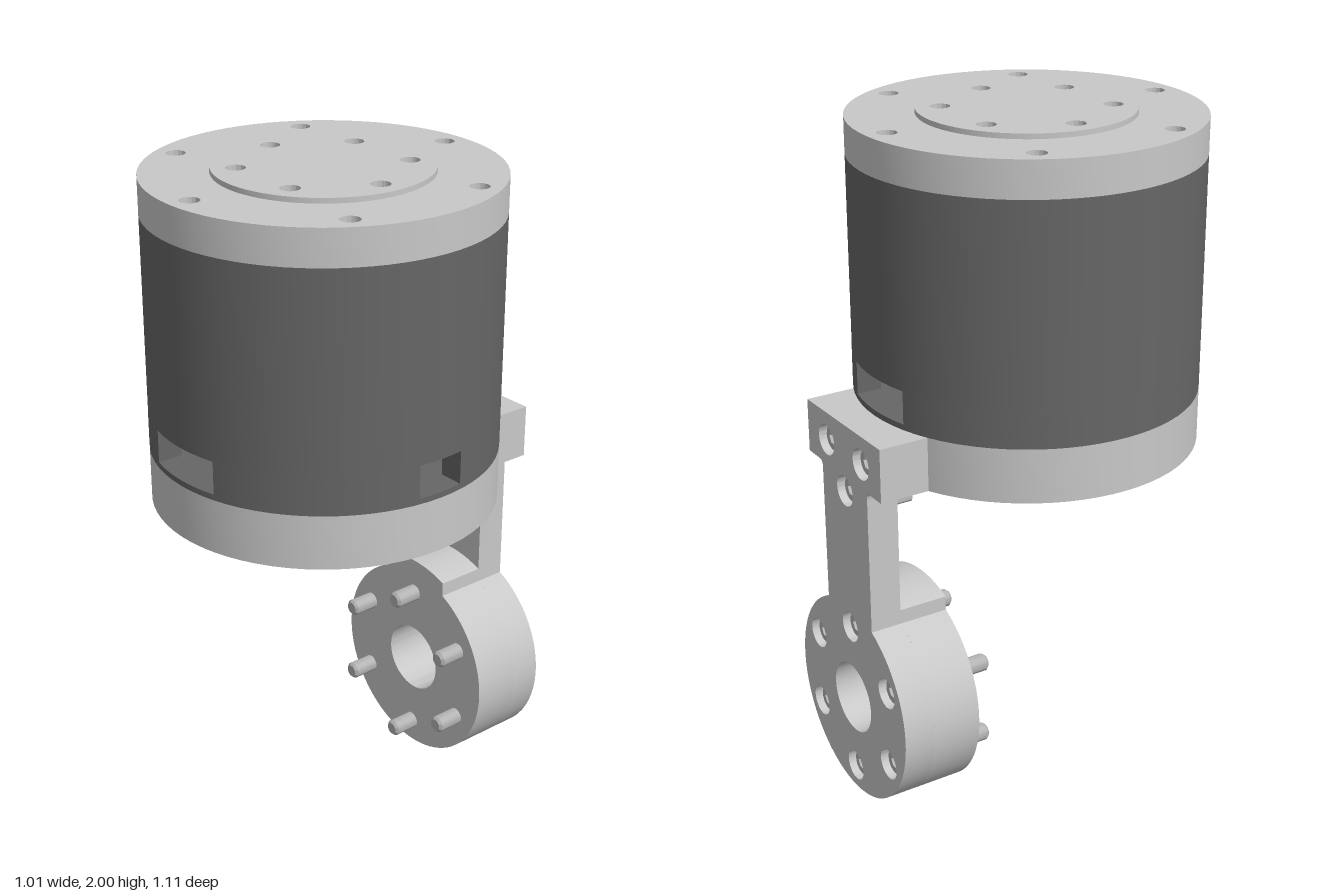
import * as THREE from 'three';
import { toCreasedNormals } from 'three/addons/utils/BufferGeometryUtils.js';

const mat = (name, color, side = THREE.FrontSide) => {
  const m = new THREE.MeshStandardMaterial({ color, side });
  m.name = name;
  return m;
};

export function createModel() {
  const model = new THREE.Group();
  model.name = 'rotaryActuator';
  const metal = mat('light metal', 0xc8c8c8);
  const dark = mat('dark housing', 0x666666);
  const steel = mat('screw steel', 0xb4b4b4);

  const CZ = 0.051, R = 0.503; // housing axis and radius
  const JY = 0.31;             // height of the lower joint axis
  const TAU = Math.PI * 2;

  const add = (name, geo, material, parent = model) => {
    const mesh = new THREE.Mesh(geo, material);
    mesh.name = name;
    parent.add(mesh);
    return mesh;
  };
  const circle = (r, x = 0, y = 0, Type = THREE.Shape) => new Type().absarc(x, y, r, 0, TAU, false);
  const hole = (r, x = 0, y = 0) => circle(r, x, y, THREE.Path);
  const ringPoints = (n, r, start = 0) => Array.from({ length: n }, (_, i) => {
    const a = start + (i / n) * TAU;
    return [r * Math.cos(a), r * Math.sin(a)];
  });
  const extrude = (shape, depth, seg = 36) => toCreasedNormals(
    new THREE.ExtrudeGeometry(shape, { depth, bevelEnabled: false, curveSegments: seg }), 0.5);
  // Extrusion lying flat between two heights, around the housing axis
  const layer = (name, shape, y0, y1, material, seg) =>
    add(name, extrude(shape, y1 - y0, seg).rotateX(-Math.PI / 2).translate(0, y0, CZ), material);
  // Extrusion facing the front between two depths
  const slab = (name, shape, z0, z1, material, seg) =>
    add(name, extrude(shape, z1 - z0, seg).translate(0, 0, z0), material);

  // Base flange with centre bore and four recessed screws
  const base = circle(R);
  base.holes.push(hole(0.176));
  const basePts = ringPoints(4, 0.34, Math.PI / 4);
  basePts.forEach(([x, y]) => base.holes.push(hole(0.052, x, y)));
  layer('baseFlange', base, 1.03, 1.19, metal);
  basePts.forEach(([x, y]) => {
    layer('baseScrewSeat', circle(0.053, x, y), 1.1, 1.11, metal, 10);
    const head = circle(0.04, x, y);
    head.holes.push(hole(0.02, x, y));
    layer('baseScrewHead', head, 1.06, 1.1, steel, 10);
  });

  // Hollow housing: rings above and below a band with three windows
  const RI = 0.43, W0 = 1.207, W1 = 1.305;
  const ring = () => {
    const s = circle(R);
    s.holes.push(hole(RI));
    return s;
  };
  layer('housingLowerRing', ring(), 1.19, W0, dark);
  layer('housingWall', ring(), W1, 1.88, dark);
  const floor = circle(RI + 0.01);
  floor.holes.push(hole(0.176));
  layer('housingFloor', floor, 1.19, W0 - 0.001, dark);
  layer('housingCeiling', circle(RI + 0.01), 1.86, 1.88, dark);
  const windows = [[0, 0.073], [Math.PI / 2, 0.13], [Math.PI * 1.5, 0.13], [TAU, 0.073]];
  for (let i = 0; i < 3; i++) {
    const [a, wa] = windows[i], [b, wb] = windows[i + 1];
    const s = new THREE.Shape();
    s.absarc(0, 0, R, a + Math.asin(wa / R), b - Math.asin(wb / R), false);
    s.absarc(0, 0, RI, b - Math.asin(wb / RI), a + Math.asin(wa / RI), true);
    layer('housingWindowBand', s, W0, W1, dark, 18);
  }

  // Top cap and output disc with blind bolt holes
  const outer = ringPoints(6, 0.44, Math.PI / 6), inner = ringPoints(6, 0.238);
  const cap = circle(R), disc = circle(0.308);
  [...outer, ...inner].forEach(([x, y]) => {
    cap.holes.push(hole(0.028, x, y));
    layer('holeFloor', circle(0.029, x, y), 1.9, 1.92, metal, 8);
  });
  inner.forEach(([x, y]) => disc.holes.push(hole(0.028, x, y)));
  layer('topCap', cap, 1.88, 1.985, metal);
  layer('outputDisc', disc, 1.985, 2, metal);

  // Bracket back plate: mounting bar, arm and joint disc in one outline
  const ZB = -0.555, ZM = -0.46, ZF = -0.31, AW = 0.13;
  const jointPts = ringPoints(6, 0.238, Math.PI / 2).map(([x, y]) => [x, y + JY]);
  const mountPts = [[-0.1, 1.105], [0.1, 1.105], [0, 0.985]];
  const t = Math.acos(AW / 0.31);
  const plate = new THREE.Shape();
  plate.moveTo(-0.21, 1.03);
  plate.lineTo(-0.15, 1.03);
  plate.quadraticCurveTo(-AW, 1.03, -AW, 1.01);
  plate.absarc(0, JY, 0.31, Math.PI - t, TAU + t, false);
  plate.lineTo(AW, 1.01);
  plate.quadraticCurveTo(AW, 1.03, 0.15, 1.03);
  plate.lineTo(0.21, 1.03);
  plate.lineTo(0.21, 1.19);
  plate.lineTo(-0.21, 1.19);
  plate.closePath();
  plate.holes.push(hole(0.108, 0, JY));
  [...jointPts, ...mountPts].forEach(([x, y]) => plate.holes.push(hole(0.046, x, y)));
  slab('bracketPlate', plate, ZB, ZM, metal, 30);

  // Mounting bar front half
  add('mountingBar', new THREE.BoxGeometry(0.42, 0.16, 0.06).translate(0, 1.11, -0.43), metal);

  // Small boss with rounded lower corners under the flange
  const boss = new THREE.Shape();
  boss.moveTo(-0.088, 1.03);
  boss.lineTo(-0.088, 0.96);
  boss.quadraticCurveTo(-0.088, 0.94, -0.068, 0.94);
  boss.lineTo(0.068, 0.94);
  boss.quadraticCurveTo(0.088, 0.94, 0.088, 0.96);
  boss.lineTo(0.088, 1.03);
  boss.closePath();
  boss.holes.push(hole(0.022, 0, 0.985));
  slab('armBoss', boss, ZM, -0.388, metal, 8);

  // Joint disc front half with a raised crown below the arm
  const u = Math.acos(AW / 0.35);
  const joint = new THREE.Shape();
  joint.absarc(0, JY, 0.31, Math.PI - t, TAU + t, false);
  joint.absarc(0, JY, 0.35, u, Math.PI - u, false);
  joint.closePath();
  joint.holes.push(hole(0.108, 0, JY));
  slab('jointDisc', joint, ZM, ZF, metal);

  // Socket screws recessed in the back
  [...jointPts, ...mountPts].forEach(([x, y]) => {
    const head = circle(0.037, x, y);
    const hex = ringPoints(6, 0.021).map(([hx, hy]) => new THREE.Vector2(x + hx, y + hy));
    head.holes.push(new THREE.Path(hex));
    slab('screwHead', head, -0.535, ZM, steel, 10);
    slab('screwSocketFloor', circle(0.03, x, y), -0.505, -0.495, steel, 8);
  });

  // Chamfered screw tips standing out of the joint disc
  const tip = toCreasedNormals(new THREE.LatheGeometry(
    [[0.026, 0], [0.026, 0.078], [0.019, 0.086], [0, 0.086]].map(p => new THREE.Vector2(...p)), 20), 0.5)
    .rotateX(Math.PI / 2);
  jointPts.forEach(([x, y]) => add('screwTip', tip, steel).position.set(x, y, ZF));

  return model;
}
